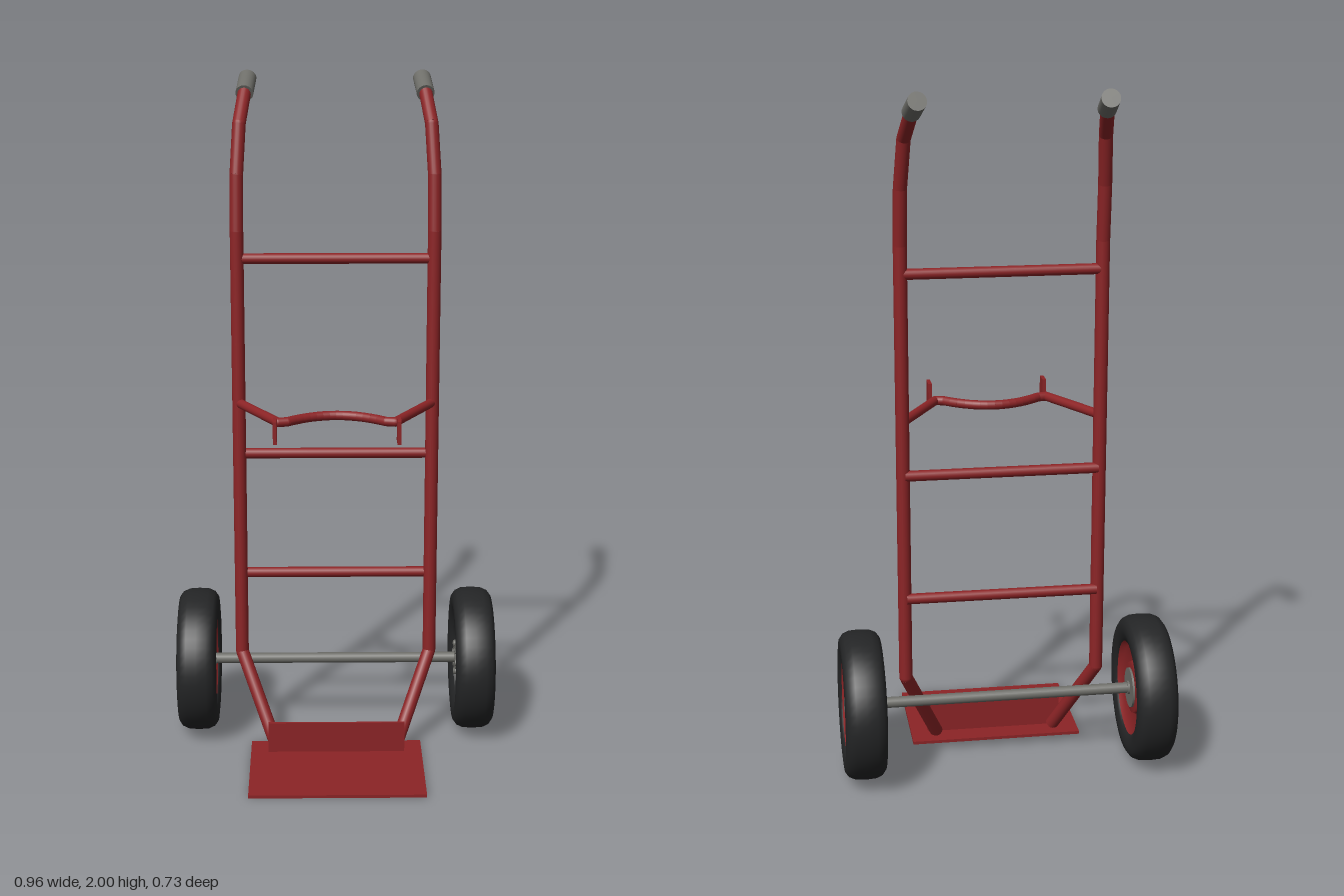
import * as THREE from 'three';

const mat = (name, color, side = THREE.FrontSide) => {
  const m = new THREE.MeshStandardMaterial({ color, side });
  m.name = name;
  return m;
};

export function createModel() {
  const red = mat('red paint', 0x8c2426);
  const grey = mat('grey metal', 0x6e6e69);
  const black = mat('black rubber', 0x242526);
  const root = new THREE.Group();
  root.name = 'handTruck';

  const add = (parent, name, geo, material, x = 0, y = 0, z = 0) => {
    const mesh = new THREE.Mesh(geo, material);
    mesh.name = name;
    mesh.position.set(x, y, z);
    parent.add(mesh);
    return mesh;
  };

  // Straight round bar between two points
  const rod = (parent, name, a, b, r, material, sides = 20) => {
    const p = new THREE.Vector3(...a), q = new THREE.Vector3(...b);
    const d = q.clone().sub(p);
    const mesh = add(parent, name, new THREE.CylinderGeometry(r, r, d.length(), sides), material);
    mesh.position.copy(p).add(q).multiplyScalar(0.5);
    mesh.quaternion.setFromUnitVectors(new THREE.Vector3(0, 1, 0), d.normalize());
    return mesh;
  };

  // Pipe made of straight runs with rounded elbows
  const pipe = (name, points, r) => {
    const g = new THREE.Group();
    g.name = name;
    for (let i = 0; i < points.length - 1; i++) {
      rod(g, name + 'Run', points[i], points[i + 1], r, red);
      if (i > 0) add(g, name + 'Elbow', new THREE.SphereGeometry(r, 16, 10), red, ...points[i]);
    }
    root.add(g);
  };

  // Side rails and hand grips
  for (const [side, s] of [['left', 1], ['right', -1]]) {
    pipe(side + 'Rail', [
      [0.18, 0.02, 0.057], [0.285, 0.27, -0.088], [0.285, 1.56, -0.098],
      [0.284, 1.72, -0.117], [0.276, 1.86, -0.155], [0.262, 1.942, -0.238],
    ].map(([x, y, z]) => [s * x, y, z]), 0.0195);
    rod(root, side + 'Grip', [s * 0.262, 1.939, -0.232], [s * 0.255, 1.977, -0.315], 0.026, grey, 24);
    // Small strap plates in front of the hoop
    add(root, side + 'StrapPlate', new THREE.BoxGeometry(0.011, 0.066, 0.05), red, s * 0.173, 1.052, 0.219);
  }

  // Cross bars
  for (const y of [0.52, 0.895, 1.48]) {
    rod(root, 'crossBar', [-0.28, y, -0.1], [0.28, y, -0.1], 0.0155, red);
  }

  // Curved load hoop: two arms and a bowed middle
  const hoop = [[-0.285, 1.052, -0.092], [-0.166, 1.052, 0.126], [-0.14, 1.052, 0.12]];
  for (let i = 1; i < 14; i++) {
    const x = -0.14 + 0.02 * i;
    hoop.push([x, 1.052, 0.053 + 0.067 * Math.pow(Math.abs(x) / 0.14, 2)]);
  }
  hoop.push([0.14, 1.052, 0.12], [0.166, 1.052, 0.126], [0.285, 1.052, -0.092]);
  pipe('loadHoop', hoop, 0.0135);

  // Toe plate with its upright back flange
  add(root, 'toePlate', new THREE.BoxGeometry(0.512, 0.009, 0.36), red, 0, 0.0075, 0.185);
  add(root, 'toeFlange', new THREE.BoxGeometry(0.408, 0.096, 0.008), red, 0, 0.057, 0.076);

  // Axle
  rod(root, 'axle', [-0.46, 0.22, -0.15], [0.46, 0.22, -0.15], 0.016, grey);

  // Turned shape around the x axis; profile is [radius, x]
  const turned = (profile) => new THREE.LatheGeometry(
    profile.map(([r, x]) => new THREE.Vector2(r, x)), 48).rotateZ(-Math.PI / 2);

  // Both wheels face the same way: dished rim towards +x, open towards -x
  const redBoth = mat('red rim', 0x8c2426, THREE.DoubleSide);
  const tyreProfile = [
    [0.137, -0.045], [0.15, -0.055], [0.172, -0.06], [0.193, -0.058], [0.207, -0.048],
    [0.215, -0.03], [0.217, 0], [0.215, 0.03], [0.207, 0.048], [0.193, 0.058],
    [0.172, 0.06], [0.15, 0.055], [0.137, 0.045], [0.137, 0], [0.137, -0.045],
  ];
  for (const [side, s] of [['left', 1], ['right', -1]]) {
    const wheel = new THREE.Group();
    wheel.name = side + 'Wheel';
    wheel.position.set(s * 0.42, 0.22, -0.15);
    add(wheel, 'tyre', turned(tyreProfile), black);
    add(wheel, 'rim', turned([
      [0.03, 0.04], [0.075, 0.04], [0.077, 0.032], [0.08, 0.03], [0.125, 0.036], [0.139, 0.05],
    ].reverse()), redBoth);
    const hub = (name, r, x0, x1) => rod(wheel, name, [x0, 0, 0], [x1, 0, 0], r, grey, 32);
    hub('hubCap', 0.059, 0.03, 0.046);
    hub('hubBarrel', 0.034, -0.052, 0.046);
    hub('hubFlange', 0.046, -0.052, -0.04);
    hub('axleEnd', 0.02, 0.04, 0.052);
    // Ring of lugs around the rear flange
    for (let i = 0; i < 8; i++) {
      const a = (i / 8) * Math.PI * 2, y = 0.046 * Math.cos(a), z = 0.046 * Math.sin(a);
      rod(wheel, 'hubLug', [-0.054, y, z], [-0.038, y, z], 0.01, grey, 10);
    }
    root.add(wheel);
  }
  return root;
}
